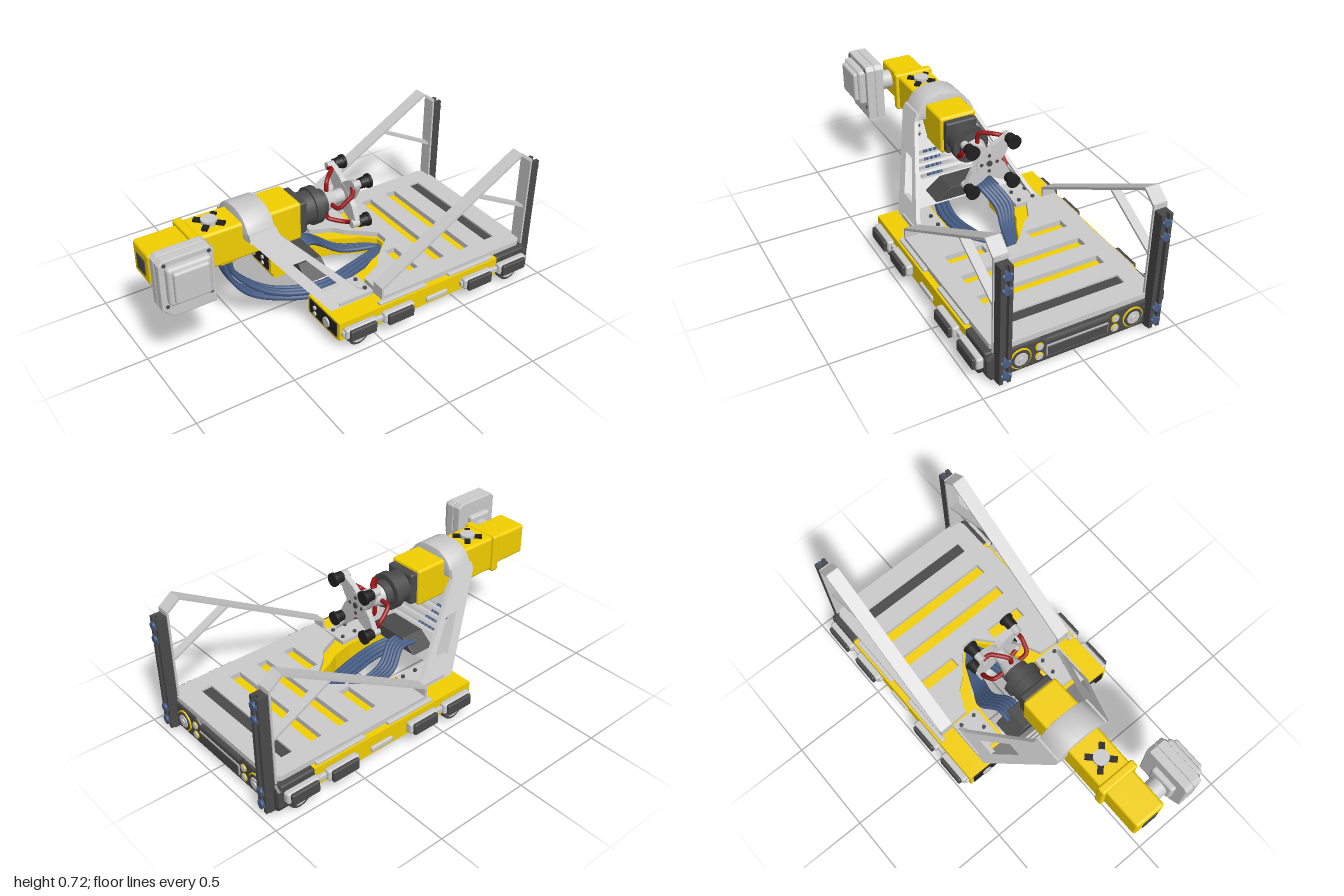
import * as THREE from 'three';
import { RoundedBoxGeometry } from 'three/addons/geometries/RoundedBoxGeometry.js';
import { toCreasedNormals } from 'three/addons/utils/BufferGeometryUtils.js';

const V = (x, y, z) => new THREE.Vector3(x, y, z);
const GREY = 0xcccccc, YELLOW = 0xf4d000, DARK = 0x4a4a4a, BLACK = 0x202020, BLUE = 0x465d85, RED = 0x9c1616;
const mats = {};
const mat = c => mats[c] ??= new THREE.MeshStandardMaterial({ color: c });

export function createModel() {
  const model = new THREE.Group();
  const add = (name, geo, color = GREY) => {
    const m = new THREE.Mesh(geo, mat(color));
    m.name = name;
    model.add(m);
    return m;
  };
  // box given by its limits, rounded when r > 0
  const box = (name, x0, x1, y0, y1, z0, z1, color, r = 0) => {
    const a = [Math.abs(x1 - x0), Math.abs(y1 - y0), Math.abs(z1 - z0)];
    const g = r ? new RoundedBoxGeometry(...a, 3, r) : new THREE.BoxGeometry(...a);
    return add(name, g.translate((x0 + x1) / 2, (y0 + y1) / 2, (z0 + z1) / 2), color);
  };
  // cylinder along an axis
  const cyl = (name, axis, x, y, z, r, len, color, r2 = r, seg = 32) => {
    const g = new THREE.CylinderGeometry(r2, r, len, seg);
    if (axis === 'x') g.rotateZ(-Math.PI / 2);
    if (axis === 'z') g.rotateX(Math.PI / 2);
    return add(name, g.translate(x, y, z), color);
  };
  const shape = (pts, holes = []) => {
    const s = new THREE.Shape(pts.map(p => new THREE.Vector2(...p)));
    s.holes = holes.map(h => new THREE.Path(h.map(p => new THREE.Vector2(...p))));
    return s;
  };
  const rect = (x0, x1, y0, y1) => [[x0, y0], [x1, y0], [x1, y1], [x0, y1]];
  const extrude = (s, depth, bevel = 0) => new THREE.ExtrudeGeometry(s, {
    depth, bevelEnabled: bevel > 0, bevelSize: bevel, bevelThickness: bevel, bevelSegments: 2, bevelOffset: -bevel });
  // outline in x,z with its top at yTop
  const plan = (name, s, yTop, h, color) => add(name, extrude(s, h).rotateX(Math.PI / 2).translate(0, yTop, 0), color);
  // outline in z,y extruded along x from x0
  const section = (s, x0, len, bevel) => extrude(s, len, bevel).rotateY(Math.PI / 2).translate(x0, 0, 0);
  const shear = (g, axis, f) => {
    const p = g.attributes.position;
    for (let i = 0; i < p.count; i++) p.setComponent(i, axis, p.getComponent(i, axis) + f(p.getY(i)));
    return toCreasedNormals(g, 0.5);
  };
  const tube = (name, pts, r, color) =>
    add(name, new THREE.TubeGeometry(new THREE.CatmullRomCurve3(pts), 40, r, 10), color);
  // flat bar in the x,y plane
  const bar = (name, a, b, z, width, t) => {
    const dx = b[0] - a[0], dy = b[1] - a[1];
    add(name, new THREE.BoxGeometry(Math.hypot(dx, dy), t, width).rotateZ(Math.atan2(dy, dx))
      .translate((a[0] + b[0]) / 2, (a[1] + b[1]) / 2, z));
  };
  const mirrorZ = half => [...half, ...half.map(([x, z]) => [x, -z]).reverse()];

  // chassis with rear notch, and the deck on it
  plan('chassis', shape(mirrorZ([[0.335, 0.025], [0.27, 0.085], [0.19, 0.12], [0.13, 0.155], [0.02, 0.18], [-0.22, 0.18],
    [-0.22, 0.45], [0.74, 0.45], [0.76, 0.43], [0.88, 0.43]])), 0.165, 0.1, YELLOW);
  const slots = [[0.305, 0.12, 0.32], [0.305, -0.32, -0.12], ...[0.47, 0.63, 0.795].map(x => [x, -0.32, 0.32])];
  plan('deck', shape(mirrorZ([[0.345, 0.035], [0.27, 0.1], [0.21, 0.15], [0.17, 0.2], [0.06, 0.25], [0.05, 0.42], [0.9, 0.42], [0.935, 0.39]]),
    slots.map(([x, a, b]) => rect(x - 0.03, x + 0.03, a, b))), 0.195, 0.028, GREY);
  box('deckGrip', 0.765, 0.825, 0.16, 0.185, -0.32, 0.32, DARK);

  // front bumper, grille and lights
  add('frontBumper', section(shape([[-0.45, 0.05], [-0.43, 0.02], [0.43, 0.02], [0.45, 0.05], [0.45, 0.14], [0.42, 0.165],
    [0.19, 0.165], [0.16, 0.142], [-0.16, 0.142], [-0.19, 0.165], [-0.42, 0.165], [-0.45, 0.14]]), 0.872, 0.058, 0.012), DARK);
  box('grilleFrame', 0.93, 0.948, 0.05, 0.112, -0.16, 0.16, 0xaaaaaa, 0.004);
  box('grille', 0.93, 0.951, 0.055, 0.107, -0.155, 0.155, DARK, 0.004);
  for (const s of [1, -1]) {
    const z = s * 0.29;
    cyl('headlightRing', 'x', 0.94, 0.093, z, 0.053, 0.016, YELLOW);
    cyl('headlightBezel', 'x', 0.942, 0.093, z, 0.047, 0.018, DARK);
    cyl('headlight', 'x', 0.945, 0.093, z, 0.04, 0.02, GREY, 0.032);
    cyl('headlightLens', 'x', 0.953, 0.093, z, 0.02, 0.014, GREY, 0.014);
    for (const y of [0.066, 0.12]) {
      cyl('smallLightRing', 'x', 0.941, y, s * 0.196, 0.02, 0.012, YELLOW);
      cyl('smallLight', 'x', 0.943, y, s * 0.196, 0.016, 0.016, GREY);
    }

    // lower rear pods with their rear lamps
    add('rearPod', extrude(shape([[-0.22, 0.08], [-0.2, 0.03], [0, 0.03], [0.1, 0.07], [0.1, 0.09], [-0.22, 0.09]]), 0.22)
      .translate(0, 0, s > 0 ? 0.18 : -0.4), YELLOW);
    box('rearPanel', -0.226, -0.215, 0.08, 0.155, s * 0.2, s * 0.43, BLACK);
    cyl('rearLight', 'x', -0.228, 0.117, s * 0.35, 0.026, 0.012, GREY);
    for (const y of [0.1, 0.135]) cyl('rearSmallLight', 'x', -0.228, y, s * 0.25, 0.011, 0.012, GREY);

    // wheels and corner cladding
    for (const x of [-0.11, 0.83]) {
      cyl('wheel', 'z', x, 0.06, s * 0.413, 0.06, 0.075, DARK);
      cyl('wheelHub', 'z', x, 0.06, s * 0.445, 0.045, 0.02, GREY);
    }
    box('cornerCladding', 0.74, 0.925, 0.06, 0.169, s * 0.405, s * 0.452, DARK, 0.01);

    // side pads, each pair on a rail
    for (const x of [-0.01, 0.7]) box('padRail', x - 0.2, x + 0.2, 0.092, 0.122, s * 0.445, s * 0.468, GREY, 0.006);
    for (const x of [-0.11, 0.11, 0.6, 0.825]) {
      box('padMount', x - 0.09, x + 0.09, 0.078, 0.138, s * 0.445, s * 0.483, GREY, 0.012);
      box('sidePad', x - 0.075, x + 0.075, 0.074, 0.134, s * 0.478, s * 0.5, DARK, 0.008);
    }
    box('sideHandle', 0.29, 0.42, 0.08, 0.11, s * 0.44, s * 0.462, GREY, 0.008);
    for (const [a, b] of [[0.02, 0.3], [0.44, 0.72]]) box('sideRail', a, b, 0.158, 0.178, s * 0.415, s * 0.44, GREY, 0.005);

    // side frame and its upright mast
    const z0 = s * 0.386;
    bar('frameFoot', [0.047, 0.18], [0.047, 0.245], z0, 0.07, 0.012);
    bar('frameSlope', [0.045, 0.24], [0.862, 0.714], z0, 0.07, 0.012);
    bar('frameTop', [0.86, 0.714], [0.93, 0.66], z0, 0.07, 0.012);
    bar('frameDrop', [0.928, 0.67], [0.928, 0.17], z0, 0.07, 0.01);
    bar('frameBrace', [0.6, 0.56], [0.928, 0.39], z0, 0.045, 0.012);
    box('mast', 0.932, 0.965, 0.02, 0.645, s * 0.357, s * 0.415, DARK);
    for (const d of [-0.02, 0.02]) box('mastRib', 0.96, 0.985, 0.025, 0.645, z0 + d - 0.009, z0 + d + 0.009, DARK);
    for (const y of [0.068, 0.14, 0.53, 0.603]) {
      cyl('mastSensor', 'x', 0.98, y, z0, 0.017, 0.034, BLUE);
      cyl('mastSensorPin', 'z', 0.982, y, z0, 0.012, 0.046, BLUE);
    }

    // leaning tower side with a window, and its foot
    const side = extrude(shape([[-0.2, 0.165], [0.02, 0.165], [0.02, 0.185], [-0.03, 0.215], [-0.36, 0.56], [-0.37, 0.6], [-0.51, 0.6], [-0.51, 0.57]],
      [[[-0.335, 0.42], [-0.265, 0.42], [-0.12, 0.26], [-0.21, 0.26]]]), 0.022).translate(0, 0, -0.011);
    add('towerSide', shear(side, 2, y => s * (0.333 - (y - 0.17) * 0.45)), GREY);
    box('towerFoot', -0.15, 0.045, 0.163, 0.187, s * 0.2, s * 0.345, GREY);
    for (const x of [-0.06, 0.02]) for (const z of [0.23, 0.31]) cyl('footBolt', 'y', x, 0.19, s * z, 0.01, 0.012, DARK, 0.01, 12);
    for (const y of [0.48, 0.53]) {
      cyl('towerBolt', 'x', -0.4, y, s * 0.14, 0.013, 0.06, GREY, 0.013, 16);
      cyl('towerBoltHole', 'x', -0.37, y, s * 0.14, 0.007, 0.006, DARK, 0.007, 12);
    }
  }

  // sloping slotted tower panel and its collar round the arm
  const half = y => 0.335 - (y - 0.17) * 0.45;
  const panel = section(shape([[-half(0.17), 0.17], [half(0.17), 0.17], [half(0.6), 0.6], [-half(0.6), 0.6]],
    [0.28, 0.312, 0.343, 0.375].map(y => rect(-0.185, 0.185, y, y + 0.02))), 0, 0.018);
  add('towerPanel', shear(panel, 0, y => -0.5 + Math.max(0, 0.57 - y) * 0.775), GREY);
  const collarHalf = [[0.158, 0.555], [0.14, 0.6], [0.118, 0.635], [0.09, 0.66], [0.05, 0.677], [0.015, 0.68]];
  const collar = [...collarHalf, ...collarHalf.map(([z, y]) => [-z, y]).reverse()];
  add('towerCollar', toCreasedNormals(section(shape(collar), -0.505, 0.13, 0.005), 0.6), GREY);
  add('towerBox', section(shape([[-0.18, 0.235], [0.18, 0.235], [0.1, 0.298], [-0.1, 0.298]]), -0.22, 0.12, 0.004), DARK);

  // arm
  box('armBody', -0.74, -0.34, 0.445, 0.635, -0.09, 0.09, YELLOW, 0.015);
  box('armHead', -0.38, -0.2, 0.44, 0.64, -0.098, 0.098, YELLOW, 0.015);
  box('armFlange', -0.765, -0.72, 0.437, 0.643, -0.105, 0.105, YELLOW, 0.012);
  box('armNose', -0.97, -0.73, 0.46, 0.625, -0.085, 0.08, YELLOW, 0.015);
  box('armNosePlate', -0.975, -0.96, 0.5, 0.58, -0.04, 0.04, DARK);
  box('cablePort', -0.61, -0.53, 0.405, 0.45, -0.045, 0.045, YELLOW, 0.008);
  for (const a of [1, -1]) {
    const strip = add('buttonCross', new THREE.BoxGeometry(0.15, 0.014, 0.028).rotateY(a * Math.PI / 4), BLACK);
    strip.position.set(-0.63, 0.64, 0);
  }
  cyl('topButton', 'y', -0.63, 0.645, 0, 0.038, 0.024, GREY);

  // drive motor on the side of the arm
  cyl('motorNeck', 'z', -0.88, 0.55, 0.11, 0.05, 0.08, GREY);
  box('motorCollar', -0.95, -0.81, 0.49, 0.63, 0.14, 0.18, GREY, 0.015);
  const housing = [[-0.95, 0.41], [-0.74, 0.41], [-0.74, 0.69], [-0.76, 0.71], [-0.98, 0.71], [-1, 0.69], [-1, 0.46]];
  for (const [z, d] of [[0.174, 0.034], [0.22, 0.036]]) add('motorHousing', extrude(shape(housing), d, 0.006).translate(0, 0, z), GREY);
  box('motorSeam', -0.99, -0.75, 0.47, 0.7, 0.18, 0.25, GREY);
  box('motorStep', -0.975, -0.765, 0.49, 0.685, 0.25, 0.298, GREY, 0.018);
  box('motorCover', -0.955, -0.785, 0.51, 0.67, 0.285, 0.318, GREY, 0.012);
  for (const x of [-0.975, -0.765]) for (const y of [0.475, 0.69]) cyl('motorBolt', 'z', x, y, 0.262, 0.009, 0.008, DARK, 0.009, 12);

  // wrist
  const wy = 0.535;
  box('wristBase', -0.205, -0.16, 0.455, 0.625, -0.085, 0.085, DARK, 0.012);
  cyl('wristDrum', 'x', -0.13, wy, 0, 0.083, 0.07, DARK);
  cyl('wristRing', 'x', -0.085, wy, 0, 0.095, 0.04, DARK);
  cyl('wristNeck', 'x', -0.05, wy, 0, 0.065, 0.05, DARK);
  cyl('wristJoint', 'x', 0, wy, 0, 0.06, 0.07, GREY, 0.04);
  cyl('wristTip', 'x', 0.06, wy, 0, 0.035, 0.08, GREY);

  // four-armed gripper with suction cups and air hoses
  cyl('gripperHub', 'x', 0.105, wy, 0, 0.068, 0.034, GREY);
  cyl('gripperCap', 'x', 0.122, wy, 0, 0.015, 0.012, DARK);
  for (let i = 0; i < 4; i++) {
    const a = Math.PI / 4 + i * Math.PI / 2, c = Math.cos(a), s = Math.sin(a);
    const arm = shape([[0.02, -0.05], [0.08, -0.045], [0.15, -0.022], [0.15, 0.022], [0.08, 0.045], [0.02, 0.05]]);
    add('gripperArm', extrude(arm, 0.028).rotateZ(a).rotateY(Math.PI / 2).translate(0.09, wy, 0), GREY);
    cyl('hubBolt', 'x', 0.122, wy + 0.042 * Math.sin(a - 0.785), 0.042 * Math.cos(a - 0.785), 0.009, 0.006, DARK, 0.009, 12);
    const y = wy + s * 0.155, z = c * 0.155;
    cyl('cupStem', 'x', 0.1, y, z, 0.02, 0.05, GREY);
    cyl('suctionCup', 'x', 0.14, y, z, 0.026, 0.05, BLACK, 0.03);
    cyl('cupLip', 'x', 0.166, y, z, 0.035, 0.014, BLACK);
    const at = (x, r, t) => V(x, wy + r * Math.sin(a + t), r * Math.cos(a + t));
    tube('airHose', [at(0, 0.05, -0.8), at(0.005, 0.1, -0.75), at(0.04, 0.12, -0.5), at(0.075, 0.135, -0.25), at(0.08, 0.145, 0)], 0.011, RED);
  }

  // two-layer cable bundle from the arm down to the chassis notch
  for (let i = 0; i < 6; i++) {
    const d = (i % 3 - 1) * 0.026, h = i < 3 ? 0.014 : -0.014;
    tube('cable', [V(-0.57 + h, 0.42, d), V(-0.555 + h, 0.34, d), V(-0.47 + h, 0.22 + h, 0.02 + d), V(-0.33, 0.145 + h, 0.06 + d),
      V(-0.1, 0.11 + h, 0.11 + d), V(0.12, 0.11 + h, 0.07 + d), V(0.36, 0.115 + h, d / 2)], 0.013, BLUE);
  }
  // second bundle from the tower box, on one side
  for (let i = 0; i < 5; i++) {
    const d = i * 0.02;
    tube('towerCable', [V(-0.14, 0.275, -0.05 - d), V(-0.06, 0.275, -0.05 - d), V(0.04, 0.2, -0.09 - d),
      V(0.14, 0.14, -0.07 - d * 0.7), V(0.36, 0.12, -0.01 - d * 0.3)], 0.012, BLUE);
  }
  return model;
}
